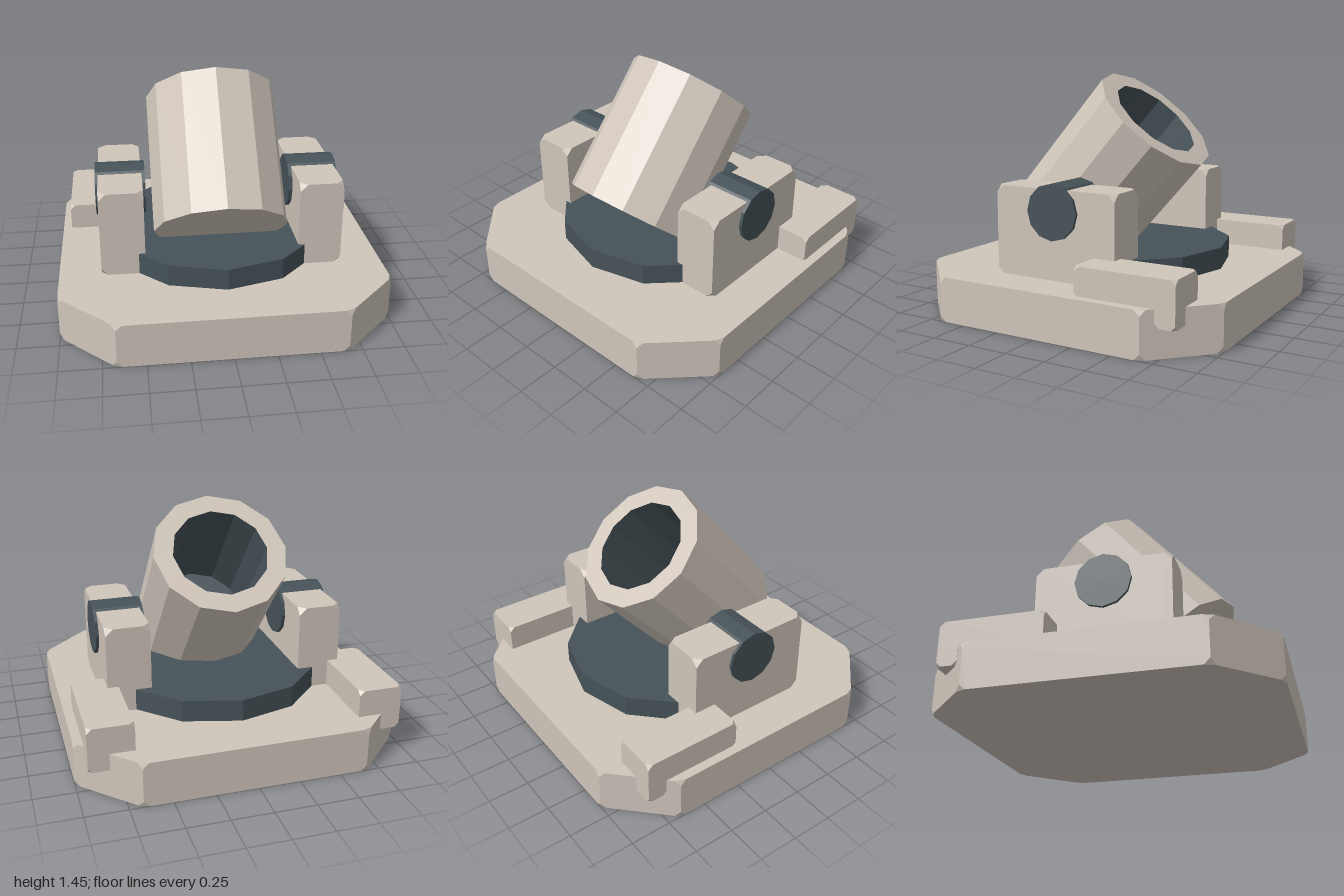
import * as THREE from 'three';
import { ConvexGeometry } from 'three/addons/geometries/ConvexGeometry.js';

const stone = new THREE.MeshStandardMaterial({ color: 0xcfc5ba });
stone.name = 'pale stone';
const iron = new THREE.MeshStandardMaterial({ color: 0x465258 });
iron.name = 'dark iron';

const SIDES = 12;

// Faceted normals for round parts
function facet(geometry) {
  const flat = geometry.toNonIndexed();
  flat.computeVertexNormals();
  return flat;
}

function part(name, geometry, material) {
  const mesh = new THREE.Mesh(geometry, material);
  mesh.name = name;
  return mesh;
}

// Upright prism over a convex [x, z] outline, every corner point clipped by c
function clippedPrism(outline, y0, y1, c) {
  const points = [];
  const n = outline.length;
  outline.forEach(([x, z], i) => {
    for (const j of [(i + 1) % n, (i + n - 1) % n]) {
      const d = new THREE.Vector2(outline[j][0] - x, outline[j][1] - z).setLength(c);
      for (const y of [y0, y1]) points.push(new THREE.Vector3(x + d.x, y, z + d.y));
    }
    points.push(new THREE.Vector3(x, y0 + c, z), new THREE.Vector3(x, y1 - c, z));
  });
  return new ConvexGeometry(points);
}

function clippedBox(x0, x1, y0, y1, z0, z1, c) {
  return clippedPrism([[x0, z0], [x1, z0], [x1, z1], [x0, z1]], y0, y1, c);
}

function lathe(profile) {
  return facet(new THREE.LatheGeometry(profile.map(([x, y]) => new THREE.Vector2(x, y)), SIDES));
}

export function createModel() {
  const model = new THREE.Group();
  model.name = 'mortar';

  // Octagonal base and turntable
  const k = 0.67;
  const octagon = [[k, 1], [1, k], [1, -k], [k, -1], [-k, -1], [-1, -k], [-1, k], [-k, 1]];
  model.add(part('base', clippedPrism(octagon, 0, 0.272, 0.035), stone));
  const turntable = part('turntable', facet(new THREE.CylinderGeometry(0.692, 0.692, 0.155, SIDES)), iron);
  turntable.position.y = 0.3275;
  model.add(turntable);

  // Tilted barrel with a hollow bore
  const barrel = new THREE.Group();
  barrel.name = 'barrel';
  const h = 0.446;
  barrel.add(part('barrelShell', lathe([[0, -h], [0.414, -h], [0.414, h], [0.296, h]]), stone));
  barrel.add(part('bore', lathe([[0.296, h], [0.296, h - 0.75], [0, h - 0.75]]), iron));
  barrel.position.set(0, 0.845, 0.055);
  barrel.rotation.x = -0.725;
  model.add(barrel);

  // Mirrored supports, trunnions and rear clamps
  for (const [side, s] of [['left', 1], ['right', -1]]) {
    const span = (a, b) => (s > 0 ? [a, b] : [-b, -a]);

    model.add(part(side + 'Support', clippedBox(...span(0.473, 0.742), 0.268, 0.808, -0.373, 0.433, 0.045), stone));

    const trunnion = part(side + 'Trunnion', facet(new THREE.CylinderGeometry(0.167, 0.167, 0.31, SIDES)), iron);
    trunnion.rotation.z = Math.PI / 2;
    trunnion.position.set(s * 0.606, 0.676, 0.035);
    model.add(trunnion);

    const clamp = new THREE.Group();
    clamp.name = side + 'Clamp';
    clamp.add(part('clampBar', clippedBox(...span(0.675, 0.944), 0.262, 0.438, -0.848, -0.233, 0.03), stone));
    clamp.add(part('clampHook', clippedBox(...span(0.675, 0.944), 0.17, 0.36, -0.848, -0.728, 0.025), stone));
    model.add(clamp);
  }
  return model;
}
